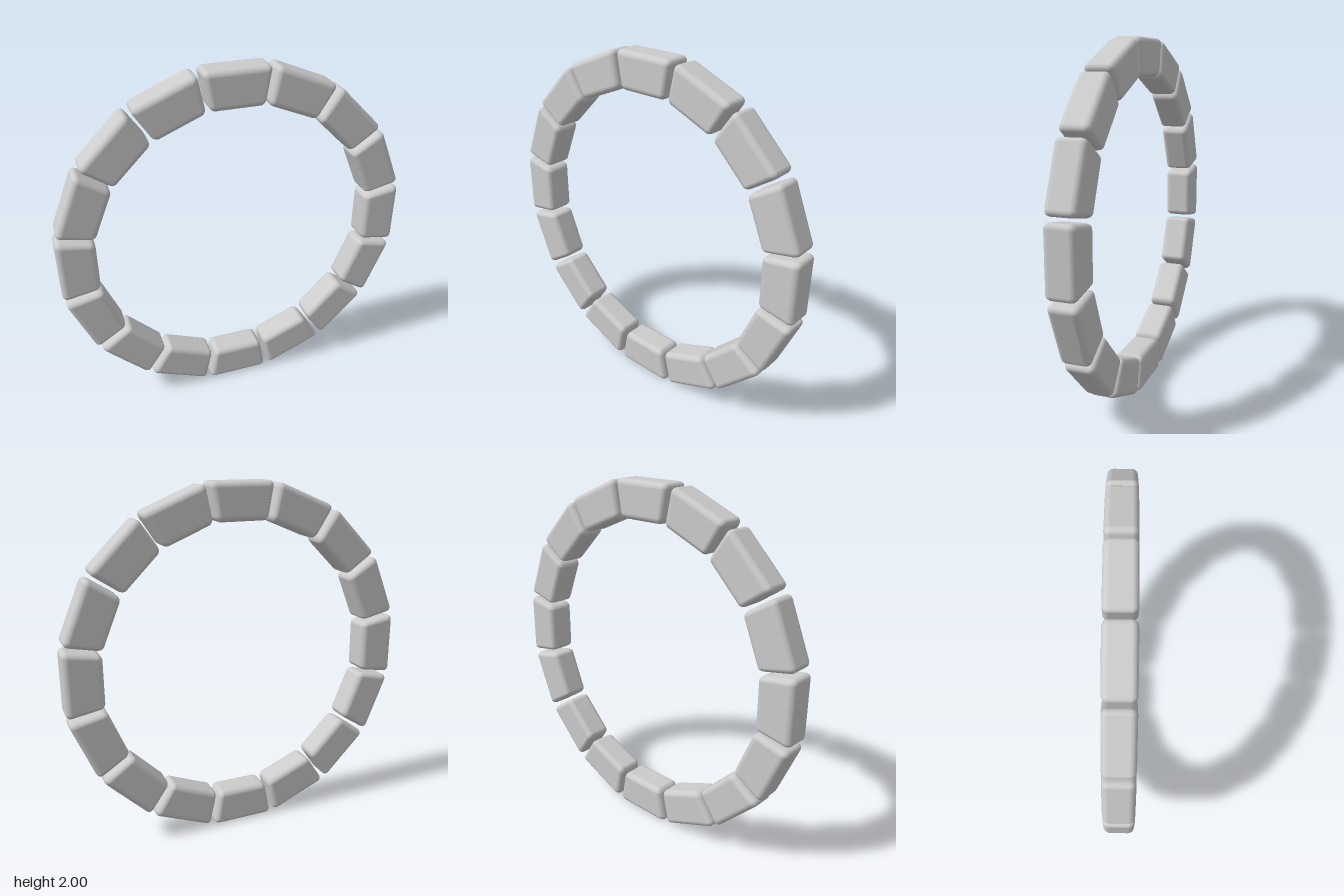
import * as THREE from 'three';
import { RoundedBoxGeometry } from 'three/addons/geometries/RoundedBoxGeometry.js';

const COUNT = 16, OUTER = 1, INNER = 0.79, DEPTH = 0.165, WIDTH = 0.372, BEVEL = 0.033;

// Rounded block narrowed towards the ring centre, like a keystone
function keystoneGeometry() {
  const geo = new RoundedBoxGeometry(WIDTH, OUTER - INNER, DEPTH, 3, BEVEL);
  geo.translate(0, (OUTER + INNER) / 2, 0);
  const pos = geo.attributes.position, nor = geo.attributes.normal;
  const n = new THREE.Vector3();
  for (let i = 0; i < pos.count; i++) {
    const x = pos.getX(i), r = pos.getY(i);
    pos.setX(i, x * r);
    // Normals follow the taper
    n.fromBufferAttribute(nor, i);
    n.set(n.x / r, n.y - (x * n.x) / r, n.z).normalize();
    nor.setXYZ(i, n.x, n.y, n.z);
  }
  return geo;
}

export function createModel() {
  const model = new THREE.Group();
  model.name = 'stoneRing';
  const material = new THREE.MeshStandardMaterial({ color: 0xcccccc });
  const geometry = keystoneGeometry();

  // Evenly spaced blocks around an upright circle
  for (let i = 0; i < COUNT; i++) {
    const block = new THREE.Mesh(geometry, material);
    block.name = `ringBlock${i + 1}`;
    block.position.y = OUTER;
    block.rotation.z = (-i / COUNT) * Math.PI * 2;
    model.add(block);
  }
  return model;
}
